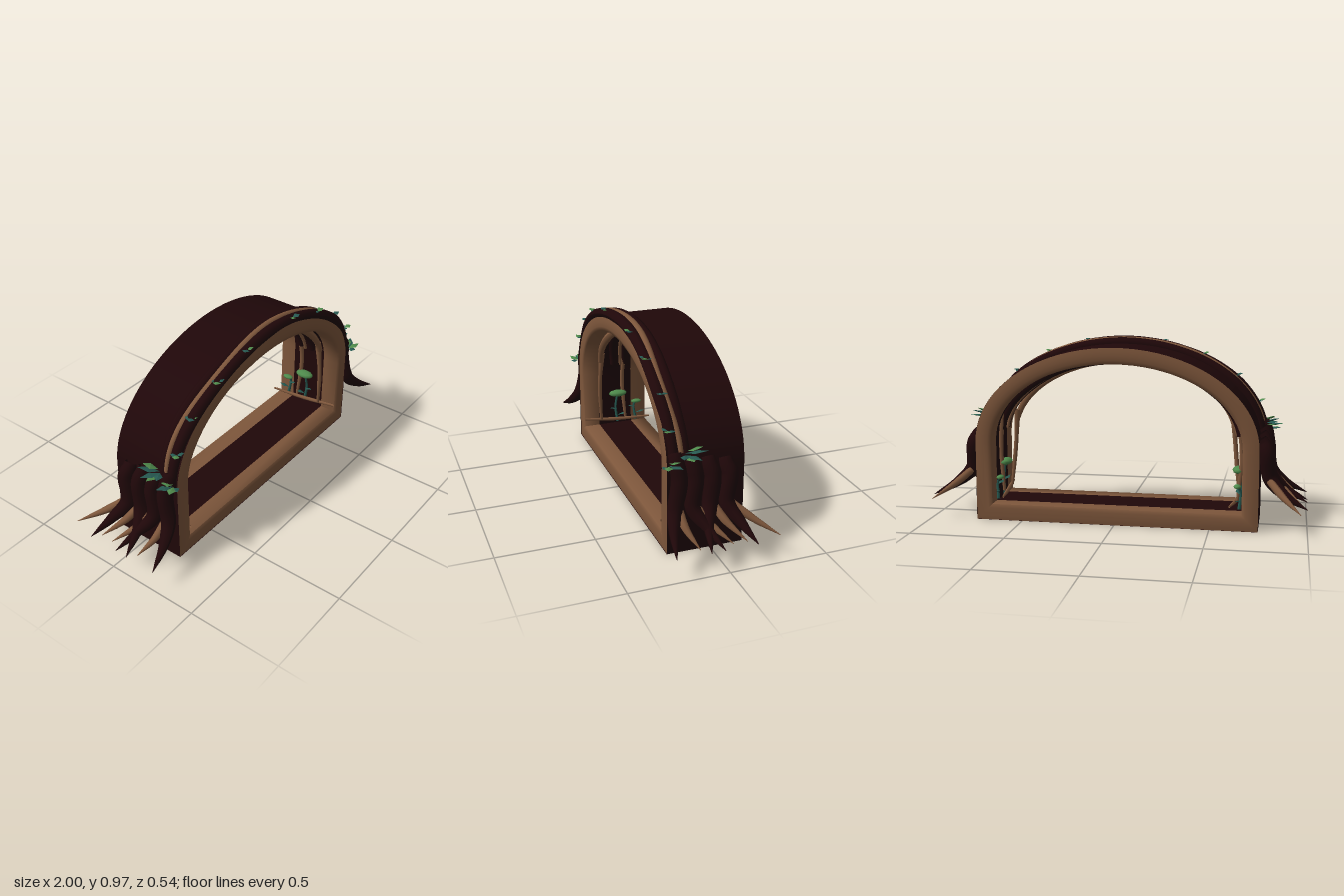
import * as THREE from 'three';
import { toCreasedNormals } from 'three/addons/utils/BufferGeometryUtils.js';

const V = (x, y, z) => new THREE.Vector3(x, y, z);
const mat = (name, color, side = THREE.DoubleSide) => {
  const m = new THREE.MeshStandardMaterial({ color, side });
  m.name = name;
  return m;
};

// Closed arch outline, inset by t: flat floor, straight sides, half ellipse
function outline(t) {
  const w = 0.75 - t, pts = [[-w, t], [w, t]];
  for (let i = 0; i <= 40; i++) {
    const a = (i / 40) * Math.PI;
    pts.push([w * Math.cos(a), 0.42 + (0.515 - t) * Math.sin(a)]);
  }
  return pts;
}

// Sweep a cross-section of [inset, z] pairs around the arch outline
function archSweep(section) {
  const pos = [], idx = [];
  const rings = section.map(([t, z]) => outline(t).map(([x, y]) => [x, y, z]));
  const n = rings[0].length;
  rings.forEach(r => r.forEach(p => pos.push(...p)));
  for (let k = 0; k < rings.length - 1; k++) {
    for (let i = 0; i < n; i++) {
      const j = (i + 1) % n;
      const a = k * n + i, b = k * n + j, c = b + n, d = a + n;
      idx.push(a, b, c, a, c, d);
    }
  }
  const g = new THREE.BufferGeometry();
  g.setAttribute('position', new THREE.Float32BufferAttribute(pos, 3));
  g.setIndex(idx);
  return toCreasedNormals(g, 1.4);
}

// Tube whose radius follows a list of values along its length
function limb(points, radii, steps = 20, sides = 10) {
  const curve = new THREE.CatmullRomCurve3(points);
  const g = new THREE.TubeGeometry(curve, steps, 1, sides);
  const p = g.attributes.position, v = V(0, 0, 0);
  for (let i = 0; i <= steps; i++) {
    const c = curve.getPointAt(i / steps);
    const f = (i / steps) * (radii.length - 1);
    const k = Math.min(Math.floor(f), radii.length - 2);
    const r = THREE.MathUtils.lerp(radii[k], radii[k + 1], f - k);
    for (let j = 0; j <= sides; j++) {
      const q = i * (sides + 1) + j;
      v.fromBufferAttribute(p, q).sub(c).multiplyScalar(r).add(c);
      p.setXYZ(q, v.x, v.y, v.z);
    }
  }
  g.computeVertexNormals();
  return g;
}

// Points over the arch on an ellipse, with a gentle wave in z
function overArch(rx, ry, cy, z, wave, phase, from = 0.05) {
  const pts = [];
  for (let i = 0; i <= 24; i++) {
    const a = from + (i / 24) * (Math.PI - 2 * from);
    pts.push(V(rx * Math.cos(a), cy + ry * Math.sin(a), z + wave * Math.sin(5 * a + phase)));
  }
  return pts;
}

export function createModel() {
  const model = new THREE.Group();
  const bark = mat('dark bark', 0x1f0709);
  const wood = mat('tan wood', 0x7d563b);
  const teal = mat('teal leaf', 0x265850);
  const green = mat('green leaf', 0x4f8a4c);
  const add = (name, geo, material, parent = model) => {
    const m = new THREE.Mesh(geo, material);
    m.name = name;
    parent.add(m);
    return m;
  };

  // Dark shell, outside and inside
  add('outerShell', archSweep([[0, -0.17], [0, 0.22]]), bark);
  add('innerShell', archSweep([[0.085, 0.125], [0.085, -0.075]]), bark);

  // Wooden rims on both openings, wrapping onto the inner wall
  const rim = [[0, 0.217], [0.02, 0.221], [0.042, 0.222], [0.065, 0.221], [0.085, 0.215], [0.085, 0.125]];
  add('frontRim', archSweep(rim), wood);
  add('backRim', archSweep(rim.map(([t, z]) => [t, 0.05 - z]).reverse()), wood);

  // Vines over the top, along the front edge
  const even = r => [r * 0.7, r, r * 0.9, r, r * 0.9, r, r * 0.7];
  add('frontVine', limb(overArch(0.768, 0.523, 0.42, 0.198, 0.006, -2.4), even(0.03), 70), bark);
  add('rearVine', limb(overArch(0.755, 0.517, 0.42, 0.135, 0.007, -1.8), even(0.031), 70), bark);
  add('woodVine', limb(overArch(0.772, 0.53, 0.42, 0.167, 0.013, -2.43, 0.2),
    [0.012, 0.018, 0.02, 0.021, 0.02, 0.018, 0.012], 70), wood);

  // Vines under the ceiling
  add('ceilingVineFront', limb(overArch(0.615, 0.415, 0.43, 0.12, 0.012, 0.4, 0.2), even(0.022), 60), wood);
  add('ceilingVineMiddle', limb(overArch(0.65, 0.43, 0.43, 0.05, 0.014, 2, 0.1), even(0.03), 60), bark);
  add('ceilingVineBack', limb(overArch(0.65, 0.43, 0.43, -0.03, 0.012, 1, 0.1), even(0.026), 60), bark);
  add('ceilingVineThin', limb(overArch(0.63, 0.42, 0.43, 0.01, 0.012, 1.5, 0.1), even(0.012), 60), wood);

  // Pointed leaf blade, flattened, aimed along a direction
  const leafGeo = toCreasedNormals(
    new THREE.SphereGeometry(1, 4, 2).translate(0, 1, 0).scale(1, 0.5, 0.25), 0.3);
  const leaf = (parent, at, dir, length, width, material) => {
    const m = add('leaf', leafGeo, material, parent);
    const y = dir.clone().normalize();
    const x = V(0, 1, 0).cross(y).normalize();
    m.position.copy(at);
    m.quaternion.setFromRotationMatrix(new THREE.Matrix4().makeBasis(x, y, x.clone().cross(y)));
    m.scale.set(width, length, width);
  };

  for (const s of [1, -1]) {
    const side = new THREE.Group();
    side.name = s > 0 ? 'leftRoots' : 'rightRoots';
    model.add(side);

    // Each root: top z, top y, elbow z, dark tip z, tan tip z
    const roots = [
      [0.185, 0.525, 0.203, 0.265, 0.135],
      [0.105, 0.5, 0.113, 0.025, -0.03],
      [0.018, 0.485, 0.028, 0.095, -0.1],
      [-0.07, 0.468, -0.06, -0.14, -0.27],
    ];
    for (const [z, y, ze, zd, zt] of roots) {
      add('rootStem', limb([
        V(s * 0.752, y, z), V(s * 0.765, y - 0.02, z), V(s * 0.785, 0.4, z - 0.012),
        V(s * 0.805, 0.26, ze), V(s * 0.88, 0.185, ze * 0.5 + zd * 0.5), V(s, 0.12, zd),
      ], [0.032, 0.04, 0.041, 0.04, 0.038, 0.032, 0.023, 0.013, 0.001], 32), bark, side);
      add('rootFork', limb([
        V(s * 0.805, 0.25, ze - 0.025), V(s * 0.865, 0.195, ze * 0.55 + zt * 0.45), V(s * 0.965, 0.125, zt),
      ], [0.02, 0.02, 0.012, 0.001], 14), wood, side);
    }

    // Thin roots down the inner wall and a twig above the floor
    [[0.12, 0.6], [-0.03, 0.64]].forEach(([z, x]) => add('innerRoot', limb([
      V(s * x, 0.56, z), V(s * (x + 0.015), 0.36, z + 0.012), V(s * 0.637, 0.13, z),
    ], [0.018, 0.012, 0.012, 0.008], 16, 8), wood, side));
    add('twig', limb([V(s * 0.658, 0.132, 0.215), V(s * 0.632, 0.122, 0.02), V(s * 0.602, 0.128, -0.172)],
      [0.007, 0.011, 0.01, 0.005], 14, 8), wood, side);

    // Round-capped plants inside
    [[0.015, 0.285, 0.055], [-0.1, 0.22, 0.032]].forEach(([z, y, r]) => {
      const cap = add('plantCap', new THREE.SphereGeometry(r, 12, 6), green, side);
      cap.scale.set(0.6, 0.35, 1);
      cap.position.set(s * 0.638, y, z);
      add('plantStem', limb([V(s * 0.65, 0.1, z), V(s * 0.655, 0.19, z + 0.01), V(s * 0.642, y, z)],
        [0.009, 0.007, 0.006], 8, 6), teal, side);
      for (let k = 0; k < 2; k++) {
        leaf(side, V(s * 0.65, 0.14 + 0.04 * k, z), V(-s * 0.3, 0.3, 2 * k - 1), 0.06, 0.014, teal);
      }
    });

    // Leaf pairs along the front vine: height angle, z
    [[0.4, 0.21], [0.7, 0.2], [1.01, 0.21], [1.32, 0.21]].forEach(([a, z], i) => {
      const at = V(s * 0.792 * Math.cos(a), 0.42 + 0.543 * Math.sin(a), z);
      leaf(side, at, V(s * 0.5, 0.1, 0.25), 0.04, 0.02, i % 2 ? teal : green);
      leaf(side, at, V(s * 0.25, -0.05, -0.8), 0.035, 0.016, teal);
      leaf(side, at, V(-s * 0.4, 0.1, 0.3), 0.035, 0.016, i % 2 ? green : teal);
    });

    // Leaf clusters above the roots: position, direction, length, green or teal
    [
      [0.53, 0.14, 0.7, 0.3, -0.9, 0.11, teal],
      [0.52, 0.14, 0.9, 0.05, -0.5, 0.1, teal],
      [0.54, 0.13, 0.4, 0.3, -0.6, 0.08, green],
      [0.52, 0.14, 0.8, 0.1, 0.4, 0.07, teal],
      [0.51, 0.13, 1, 0.15, 0, 0.09, green],
      [0.475, 0.22, 0.9, 0.15, 0.4, 0.07, green],
      [0.48, 0.22, 0.8, 0.1, -0.4, 0.09, teal],
      [0.49, 0.22, 0.5, 0.2, -0.5, 0.06, green],
      [0.47, 0.22, 0.2, 0.05, 0.6, 0.04, teal],
    ].forEach(([y, z, dx, dy, dz, length, material]) =>
      leaf(side, V(s * 0.775, y, z), V(s * dx, dy, dz), length, 0.022, material));
  }
  return model;
}
